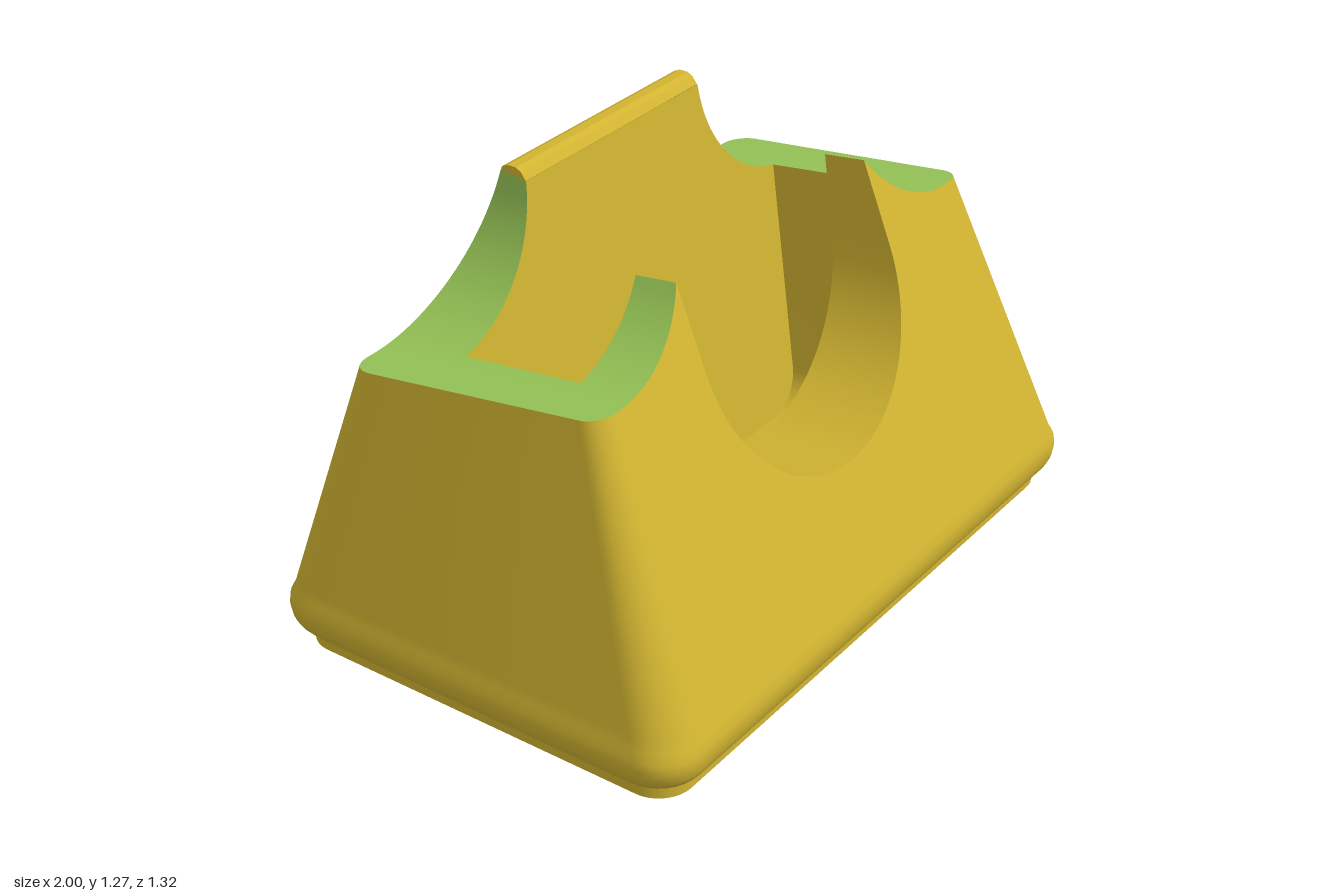
import * as THREE from 'three';
import { mergeGeometries, toCreasedNormals } from 'three/addons/utils/BufferGeometryUtils.js';

// The cradle is tilted back: v runs up along the slot, w runs out to the front.
const TILT = 0.129, C = Math.cos(TILT), S = Math.sin(TILT);
const W_FRONT = 0.284, W_BACK = -0.083;   // slot walls
const SLOT_X = 0.69, FLOOR = 0.136, SLOT_R = 0.12;
const U_X = 0.43, U_V = 0.85;             // front cut-out
const FIN_X = 0.375, FIN_V = 1.262, FIN_Y = 1.25;
const lerp = THREE.MathUtils.lerp;
const steps = (n, fn) => Array.from({ length: n + 1 }, (_, i) => fn(i / n));
const world = (x, v, w) => [x, v * C + w * S, w * C - v * S];

// Height (v) of the shoulder scoop at x
function scoop(x) {
  const d = Math.min(Math.max(0.76 - Math.abs(x), 0), 0.385);
  return 1.285 - Math.sqrt(0.385 * 0.385 - d * d);
}

// Tapered body: half width, front, back and corner radius at height y
const RIM = [[0.05, -0.015], [0.07, 0], [0.09, 0.008], [0.12, 0.012], [0.145, 0.01], [0.17, 0]];
function section(y) {
  const k = Math.max(y - 0.17, 0);
  const row = RIM.find(p => Math.abs(p[0] - y) < 1e-6);
  const e = row ? row[1] : 0;
  return { X: 0.988 - 0.1885 * k + e, F: 0.65 - 0.4 * k + e, B: -0.648 + 0.296 * k - e, r: 0.12 - 0.075 * k };
}

// Height where a wall column meets the cut v = target(x)
function topOf(col, target) {
  let lo = 0.17, hi = 1.4;
  for (let i = 0; i < 40; i++) {
    const y = (lo + hi) / 2, [x, z] = col(y);
    if (y * C - z * S < target(x)) lo = y; else hi = y;
  }
  return lo;
}
const at = (col, y) => { const [x, z] = col(y); return [x, y, z]; };
const wallColumn = (col, top) => [...RIM.map(p => p[0]), 0.2, top].map(y => at(col, y));

// Surface through a list of point columns
function grid(cols) {
  const n = cols[0].length, index = [];
  for (let c = 0; c < cols.length - 1; c++) for (let r = 0; r < n - 1; r++) {
    const a = c * n + r, b = a + n;
    index.push(a, b, b + 1, a, b + 1, a + 1);
  }
  const g = new THREE.BufferGeometry();
  g.setAttribute('position', new THREE.Float32BufferAttribute(cols.flat(2), 3));
  g.setIndex(index);
  return g;
}
const mirrorCols = cols => cols.map(c => c.map(([x, y, z]) => [-x, y, z])).reverse();
const bothSides = cols => [grid(cols), grid(mirrorCols(cols))];
const smooth = parts => toCreasedNormals(mergeGeometries(parts), 0.6);

function roundedRect(hx, hy, r, cy = 0) {
  const s = new THREE.Shape();
  [[1, -1, -0.5], [1, 1, 0], [-1, 1, 0.5], [-1, -1, 1]].forEach(([sx, sy, q]) =>
    s.absarc(sx * (hx - r), cy + sy * (hy - r), r, q * Math.PI, (q + 0.5) * Math.PI, false));
  s.closePath();
  return s;
}

export function createModel() {
  const ochre = new THREE.MeshStandardMaterial({ color: 0xd1b431, side: THREE.DoubleSide });
  ochre.name = 'ochre';
  const green = new THREE.MeshStandardMaterial({ color: 0x97c556, side: THREE.DoubleSide });
  green.name = 'leafGreen';
  const model = new THREE.Group();
  model.name = 'dockStand';
  const cradle = new THREE.Group();
  cradle.name = 'tiltedCradle';
  cradle.rotation.x = -TILT;
  model.add(cradle);
  const add = (parent, name, geometry, material) => {
    const m = new THREE.Mesh(geometry, material);
    m.name = name;
    parent.add(m);
    return m;
  };

  // Wall columns from the front cut-out round the left side to the back fin
  const Q = Math.PI / 2;
  const frontCols = [
    ...steps(24, t => y => { const s = section(y); return [lerp(U_X, s.X - s.r, t), s.F]; }),
    ...steps(8, t => y => {
      const s = section(y);
      return [s.X - s.r + s.r * Math.sin(t * Q), s.F - s.r + s.r * Math.cos(t * Q)];
    }).slice(1)];
  const backCols = [
    ...steps(8, t => y => {
      const s = section(y);
      return [s.X - s.r + s.r * Math.cos(t * Q), s.B + s.r - s.r * Math.sin(t * Q)];
    }),
    ...steps(32, t => y => { const s = section(y); return [lerp(FIN_X, s.X - s.r, (1 - t) ** 2), s.B]; }).slice(1)];
  const shoulderTop = col => Math.min(topOf(col, scoop), FIN_Y);

  // Front wall under the U-shaped cut-out
  const onFront = x => y => [x, section(y).F];
  const uArc = steps(48, t => {
    const a = (t - 0.5) * Math.PI;
    return [U_X * Math.sin(a), U_V - U_X * Math.cos(a)];
  });
  const uPath = [[-U_X, scoop(U_X)], ...uArc, [U_X, scoop(U_X)]];
  const frontMiddle = uArc.map(([x, v]) => wallColumn(onFront(x), topOf(onFront(x), () => v)));
  const backMiddle = [FIN_X, -FIN_X].map(x => wallColumn(y => [x, section(y).B], FIN_Y));
  const sides = [...frontCols, ...backCols].map(col => wallColumn(col, shoulderTop(col)));
  add(model, 'bodyShell', smooth([...bothSides(sides), grid(frontMiddle), grid(backMiddle)]), ochre);

  // Cut-out surface through the front wall
  add(model, 'frontCutout', smooth([grid(uPath.map(([x, v]) =>
    [at(onFront(x), topOf(onFront(x), () => v)), world(x, v, W_FRONT)]))]), ochre);

  // Green scooped shoulders
  const sideX = w => section(0.9 * C + w * S).X;
  const strip = (cols, w) => {
    const tops = cols.map(col => at(col, shoulderTop(col)));
    const xMax = Math.max(...tops.map(p => p[0]));
    return tops.map(p => {
      const x = p[0] < SLOT_X ? p[0] : SLOT_X + (p[0] - SLOT_X) * (sideX(w) - SLOT_X) / (xMax - SLOT_X);
      return [p, world(x, Math.min(scoop(x), FIN_V), w)];
    });
  };
  const besideSlot = [W_FRONT, W_BACK].map(w => steps(6, t => {
    const x = lerp(sideX(w), SLOT_X, t);
    return world(x, scoop(x), w);
  }));
  add(model, 'shoulderScoops', smooth([
    ...bothSides(strip(frontCols, W_FRONT)), ...bothSides(strip(backCols, W_BACK)), ...bothSides(besideSlot)]), green);

  // Rounded tip of the back fin
  const tip = new THREE.Shape([[-0.328, 1.25], [-0.322, 1.262], [-0.305, 1.27], [-0.278, 1.27], [-0.262, 1.262], [-0.246, 1.241]]
    .map(([z, y]) => new THREE.Vector2(-z, y)));
  const tipGeo = new THREE.ExtrudeGeometry(tip, { depth: 2 * FIN_X, bevelEnabled: false });
  tipGeo.translate(0, 0, -FIN_X).rotateY(Math.PI / 2);
  add(model, 'finTip', tipGeo, ochre);

  // Slot: end walls with rounded lower corners
  const slotEnd = [[SLOT_X - SLOT_R, FLOOR], ...steps(10, t => [
    SLOT_X - SLOT_R + SLOT_R * Math.sin(t * Q), FLOOR + SLOT_R - SLOT_R * Math.cos(t * Q)]).slice(1),
  [SLOT_X, scoop(SLOT_X)]];
  add(model, 'slotEnds', smooth(bothSides(slotEnd.map(([x, v]) =>
    [world(x, v, W_FRONT), world(x, v, W_BACK)]))), ochre);

  // Slot: front and back walls
  const flip = pts => pts.map(([x, v]) => [-x, v]).reverse();
  const slotWall = (name, x0, middle, w) => {
    const crest = steps(20, t => { const x = lerp(x0, SLOT_X, t * t); return [x, Math.min(scoop(x), FIN_V)]; });
    const half = [...crest.slice(1, -1), ...slotEnd.slice().reverse()];
    const shape = new THREE.Shape([...middle, ...half, ...flip(half)].map(p => new THREE.Vector2(...p)));
    add(cradle, name, new THREE.ShapeGeometry(shape), ochre).position.z = w;
  };
  slotWall('slotFrontWall', U_X, uPath, W_FRONT);
  slotWall('slotBackWall', FIN_X, [[-FIN_X, FIN_V], [FIN_X, FIN_V]], W_BACK);

  // Slot: floor with a connector recess
  const flat = SLOT_X - SLOT_R;
  const floor = new THREE.Shape([[-flat, -W_FRONT], [flat, -W_FRONT], [flat, -W_BACK], [-flat, -W_BACK]]
    .map(p => new THREE.Vector2(...p)));
  floor.holes.push(roundedRect(0.185, 0.1, 0.03, -0.1));
  const floorGeo = new THREE.ExtrudeGeometry(floor, { depth: 0.08, bevelEnabled: false, curveSegments: 6 });
  add(cradle, 'slotFloor', floorGeo.rotateX(-Q), ochre).position.y = FLOOR - 0.08;
  const recess = add(cradle, 'connectorRecess', new THREE.PlaneGeometry(0.38, 0.21).rotateX(-Q), ochre);
  recess.position.set(0, FLOOR - 0.078, 0.1);

  // Underside of the body and the inset plinth
  add(model, 'bodyUnderside', new THREE.ShapeGeometry(roundedRect(0.973, 0.634, 0.12)).rotateX(Q), ochre).position.y = 0.05;
  const plinth = roundedRect(0.95, 0.613, 0.1);
  const feet = [[1, 1], [1, -1], [-1, 1], [-1, -1]].map(([a, b]) => [a * 0.815, b * 0.48]);
  feet.forEach(([x, z]) => plinth.holes.push(new THREE.Path().absarc(x, z, 0.122, 0, Math.PI * 2, true)));
  const plinthGeo = new THREE.ExtrudeGeometry(plinth, { depth: 0.05, bevelEnabled: false, curveSegments: 16 });
  add(model, 'plinth', toCreasedNormals(plinthGeo.rotateX(-Q), 0.6), ochre);

  // Green foot recesses
  const cup = toCreasedNormals(new THREE.LatheGeometry(
    [[0.122, 0], [0.119, 0], [0.119, 0.04], [0, 0.04]].map(p => new THREE.Vector2(...p)), 32), 0.6);
  feet.forEach(([x, z]) => add(model, 'footRecess', cup, green).position.set(x, 0, z));
  return model;
}
